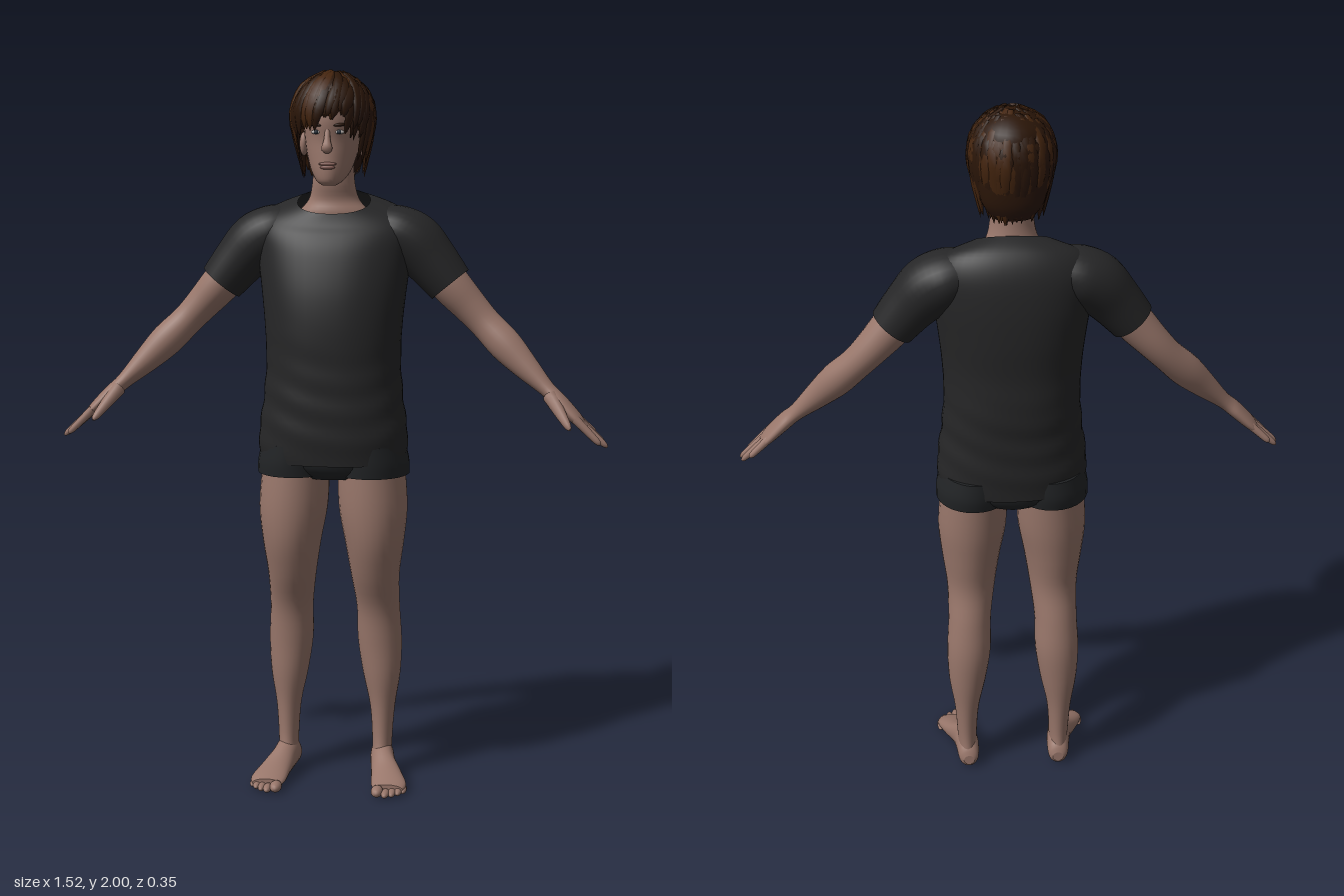
import * as THREE from 'three';
import { mergeGeometries } from 'three/addons/utils/BufferGeometryUtils.js';

const V = (x, y, z) => new THREE.Vector3(x, y, z);
const paint = (name, color, side = THREE.FrontSide) => {
  const m = new THREE.MeshStandardMaterial({ color, side });
  m.name = name;
  return m;
};

// Smooth blend through a list of equal-length number rows.
function smoothRows(rows, steps) {
  const out = [];
  const at = i => rows[Math.max(0, Math.min(rows.length - 1, i))];
  for (let i = 0; i < rows.length - 1; i++)
    for (let s = 0; s < steps; s++) {
      const t = s / steps, [p, a, b, n] = [at(i - 1), at(i), at(i + 1), at(i + 2)];
      out.push(a.map((_, k) => a[k] + 0.5 * t * (b[k] - p[k] + t * (2 * p[k] - 5 * a[k] + 4 * b[k] - n[k]
        + t * (3 * (a[k] - b[k]) + n[k] - p[k])))));
    }
  out.push(rows[rows.length - 1]);
  return out;
}

// Skin over oval rings. Row: x, y, z, radius along u, radius along v, y slope in x, y slope in z.
function loft(rows, { v = V(1, 0, 0), t = null, sides = 28, steps = 4, power = 1, caps = true, wave = null } = {}) {
  const rings = smoothRows(rows, steps), pos = [], idx = [];
  const centre = r => V(r[0], r[1], r[2]);
  const bend = c => Math.sign(c) * Math.abs(c) ** power;
  rings.forEach((r, i) => {
    const dir = t || centre(rings[Math.min(i + 1, rings.length - 1)]).sub(centre(rings[Math.max(i - 1, 0)])).normalize();
    const u = v.clone().cross(dir).normalize(), w = dir.clone().cross(u);
    for (let j = 0; j < sides; j++) {
      const q = j / sides * Math.PI * 2;
      const k = wave ? 1 + wave(r[1], q) : 1;
      const d = u.clone().multiplyScalar(r[3] * k * bend(Math.cos(q))).addScaledVector(w, r[4] * k * bend(Math.sin(q)));
      pos.push(r[0] + d.x, r[1] + d.y + (r[5] || 0) * d.x + (r[6] || 0) * d.z, r[2] + d.z);
    }
  });
  for (let i = 0; i < rings.length - 1; i++)
    for (let j = 0; j < sides; j++) {
      const a = i * sides + j, b = i * sides + (j + 1) % sides;
      idx.push(a, b, a + sides, b, b + sides, a + sides);
    }
  if (caps) for (const end of [0, rings.length - 1]) {
    const base = pos.length / 3;
    for (let j = 0; j < sides * 3; j++) pos.push(pos[end * sides * 3 + j]);
    pos.push(...rings[end].slice(0, 3));
    for (let j = 0; j < sides; j++) {
      const a = base + j, b = base + (j + 1) % sides;
      idx.push(base + sides, end ? a : b, end ? b : a);
    }
  }
  const g = new THREE.BufferGeometry();
  g.setAttribute('position', new THREE.Float32BufferAttribute(pos, 3));
  g.setIndex(idx);
  g.computeVertexNormals();
  return g;
}

// Upright ring from its extents.
const ring = (y, x0, x1, z0, z1, sx = 0, sz = 0) =>
  [(x0 + x1) / 2, y, (z0 + z1) / 2, (z1 - z0) / 2, (x1 - x0) / 2, sx, sz];
const upright = (rows, opt = {}) => loft(rows.map(r => ring(...r)), { t: V(0, 1, 0), ...opt });
const even = rows => rows.map(([y, w, z0, z1, sz = 0]) => [y, -w, w, z0, z1, 0, sz]);

// Rounded finger-like shape between two points.
function digit(a, b, r0, r1) {
  const p = (f, r) => [...V(...a).lerp(V(...b), f).toArray(), r, r];
  return loft([p(0, r0), p(0.5, (r0 + r1) / 2), p(0.88, r1), p(1, r1 * 0.35)], { v: V(0, 0, 1), sides: 10, steps: 3 });
}

export function createModel() {
  const skin = paint('skin', 0x98766a), shirt = paint('shirt cloth', 0x262627, THREE.DoubleSide);
  const under = paint('shorts cloth', 0x222426), hairDark = paint('dark hair', 0x2b1608), hairLight = paint('light hair', 0x43240e);
  const lip = paint('lips', 0x805a52), white = paint('eye white', 0xb5aeaa), iris = paint('iris', 0x26303a);
  const model = new THREE.Group();
  model.name = 'figure';
  const add = (name, geo, mat) => {
    const m = new THREE.Mesh(geo, mat);
    m.name = name;
    model.add(m);
    return m;
  };
  const ball = (name, mat, p, s) => {
    const m = add(name, new THREE.SphereGeometry(1, 16, 12), mat);
    m.position.set(...p);
    m.scale.set(...s);
    return m;
  };

  // Shirt body with soft creases around the waist
  add('shirtBody', upright(even([
    [0.93, 0.204, -0.148, 0.132], [1.0, 0.208, -0.155, 0.14], [1.1, 0.195, -0.16, 0.142], [1.2, 0.187, -0.168, 0.142],
    [1.3, 0.19, -0.167, 0.142], [1.4, 0.2, -0.174, 0.13], [1.5, 0.213, -0.174, 0.103], [1.57, 0.218, -0.162, 0.08, -0.15],
    [1.615, 0.188, -0.13, 0.06, -0.35], [1.645, 0.1, -0.082, 0.048, -0.5]]), {
    sides: 48, steps: 6, power: 0.9, caps: false,
    wave: (y, q) => 0.011 * Math.sin(y * 75 + 2.5 * Math.sin(q * 2 + 1)) * Math.exp(-(((y - 1.08) / 0.13) ** 2)),
  }), shirt);

  // Shorts: hips and two legs with slanted cuffs
  add('shortsHips', upright(even([[0.885, 0.1, -0.11, 0.085], [0.92, 0.19, -0.14, 0.112], [0.98, 0.198, -0.145, 0.122]])), under);

  // Neck and head
  add('neck', upright(even([[1.57, 0.13, -0.1, 0.035], [1.615, 0.1, -0.085, 0.04], [1.65, 0.07, -0.075, 0.034],
    [1.7, 0.058, -0.068, 0.045], [1.77, 0.055, -0.07, 0.04]])), skin);
  add('head', upright(even([[1.69, 0.018, 0.055, 0.1], [1.702, 0.036, 0.02, 0.111], [1.73, 0.054, -0.04, 0.115],
    [1.77, 0.067, -0.08, 0.114], [1.81, 0.074, -0.095, 0.113], [1.86, 0.078, -0.105, 0.12], [1.91, 0.078, -0.11, 0.112],
    [1.95, 0.064, -0.09, 0.085], [1.975, 0.025, -0.045, 0.04]])), skin);
  add('nose', loft([[0, 1.84, 0.11, 0.006, 0.007], [0, 1.81, 0.119, 0.009, 0.009], [0, 1.788, 0.124, 0.012, 0.015],
    [0, 1.778, 0.116, 0.005, 0.008]], { sides: 14 }), skin);
  ball('upperLip', lip, [0, 1.747, 0.113], [0.025, 0.005, 0.006]);
  ball('lowerLip', lip, [0, 1.738, 0.113], [0.02, 0.006, 0.007]);

  for (const s of [1, -1]) {
    const side = s > 0 ? 'left' : 'right';
    const mir = rows => rows.map(([x, ...rest]) => [s * x, ...rest]);
    const pt = ([x, y, z]) => [s * x, y, z];

    // Face details
    ball(side + 'Ear', skin, [s * 0.08, 1.8, 0.0], [0.012, 0.032, 0.02]);
    ball(side + 'Eye', white, [s * 0.031, 1.831, 0.107], [0.014, 0.006, 0.006]);
    ball(side + 'Iris', iris, [s * 0.031, 1.831, 0.1115], [0.006, 0.006, 0.003]);
    ball(side + 'Brow', hairDark, [s * 0.034, 1.85, 0.109], [0.02, 0.0045, 0.006]).rotation.set(0, s * 0.3, s * 0.12);

    // Sleeve and arm
    add(side + 'Sleeve', loft(mir([[0.12, 1.575, -0.06, 0.06, 0.075], [0.17, 1.56, -0.055, 0.075, 0.092], [0.22, 1.53, -0.05, 0.082, 0.088],
      [0.27, 1.478, -0.045, 0.073, 0.074], [0.32, 1.418, -0.042, 0.064, 0.064]]), { v: V(0, 0, 1), caps: false }), shirt);
    add(side + 'Arm', loft(mir([[0.25, 1.5, -0.045, 0.055, 0.058], [0.32, 1.418, -0.042, 0.055, 0.057], [0.375, 1.358, -0.044, 0.048, 0.051],
      [0.42, 1.31, -0.038, 0.044, 0.046], [0.475, 1.255, -0.018, 0.046, 0.045], [0.53, 1.2, 0.002, 0.036, 0.036],
      [0.59, 1.142, 0.022, 0.022, 0.03], [0.625, 1.11, 0.032, 0.021, 0.04], [0.67, 1.066, 0.04, 0.017, 0.046],
      [0.69, 1.048, 0.042, 0.01, 0.04]]), { v: V(0, 0, 1) }), skin);

    // Fingers from thumb side to little finger, then the thumb
    [[0.074, 0.737, 1.0, 0.082], [0.053, 0.756, 0.99, 0.056], [0.03, 0.75, 0.994, 0.026], [0.01, 0.725, 1.018, -0.003]].forEach(([z, ...tip], i) =>
      add(side + 'Finger' + (i + 1), digit(pt([0.668, 1.068, z]), pt(tip), 0.0125, 0.0085), skin));
    add(side + 'Thumb', digit(pt([0.6, 1.125, 0.045]), pt([0.655, 1.045, 0.122]), 0.021, 0.01), skin);

    // Leg, thigh to ankle; extents are mirrored through the ring centre
    const legRows = [[0.05, 0.108, 0.164, -0.1, 0.01], [0.1, 0.108, 0.165, -0.096, -0.008], [0.2, 0.101, 0.172, -0.105, -0.01],
      [0.3, 0.08, 0.187, -0.116, 0.0], [0.4, 0.065, 0.191, -0.12, 0.006], [0.5, 0.063, 0.186, -0.108, 0.02],
      [0.6, 0.05, 0.187, -0.092, 0.062], [0.7, 0.034, 0.2, -0.105, 0.094], [0.8, 0.016, 0.209, -0.12, 0.104], [0.92, 0.012, 0.2, -0.13, 0.1]];
    add(side + 'Leg', loft(mir(legRows.map(r => ring(...r))), { t: V(0, 1, 0) }), skin);
    add(side + 'ShortsLeg', loft(mir([[0.893, 0.004, 0.213, -0.136, 0.11], [0.93, 0.004, 0.212, -0.144, 0.115],
      [0.98, 0.004, 0.2, -0.144, 0.118]].map(r => [...ring(...r), 0.2 * s, 0.15])), { t: V(0, 1, 0) }), under);

    // Foot and toes
    add(side + 'Foot', loft(mir([[0.133, 0.03, -0.106, 0.015, 0.016], [0.134, 0.037, -0.092, 0.035, 0.029], [0.137, 0.052, -0.05, 0.05, 0.034],
      [0.145, 0.045, 0.0, 0.043, 0.036], [0.16, 0.032, 0.05, 0.03, 0.044], [0.171, 0.022, 0.1, 0.02, 0.05],
      [0.171, 0.017, 0.13, 0.013, 0.042]]), { t: V(0, 0, 1) }), skin);
    [[0.143, 0.147, 0.017], [0.166, 0.149, 0.012], [0.184, 0.138, 0.011], [0.2, 0.124, 0.011], [0.213, 0.106, 0.01]].forEach(([x, z, r], i) =>
      ball(side + 'Toe' + (i + 1), skin, [s * x, r * 0.9 + 0.001, z], [r, r * 0.9, 0.028]));
  }

  // Hair: a scalp cap covered in tapering locks that sweep from the crown
  add('hairCap', upright(even([[1.72, 0.05, -0.09, -0.03], [1.76, 0.08, -0.108, -0.005], [1.82, 0.094, -0.115, 0.02], [1.87, 0.1, -0.117, 0.06],
    [1.9, 0.104, -0.117, 0.118], [1.95, 0.088, -0.103, 0.1], [1.982, 0.048, -0.06, 0.055], [1.992, 0.012, -0.015, 0.012]])), hairDark);
  let seed = 7;
  const rnd = () => (seed = (seed * 16807) % 2147483647) / 2147483647;
  const locks = [[], []];
  const count = 150;
  for (let n = 0; n < count; n++) {
    const phi0 = (n / count * 2 - 1) * Math.PI, a = Math.abs(phi0);
    // Lowest angle reached: short at the brow, longer at the temples and nape
    const reach = a < 0.65 ? 1.42 + (phi0 < 0 ? 0.25 : 0.05) : a < 1.15 ? 1.85 : a < 1.7 ? 2.35 : 2.6;
    const from = 0.15 + rnd() * 0.75, to = reach + (rnd() - 0.5) * 0.35;
    const swirl = a < 1.2 ? -0.3 : (rnd() - 0.5) * 0.3, lift = 0.97 + rnd() * 0.05;
    const rows = [0, 0.3, 0.6, 0.85, 1].map((f, i) => {
      const th = from + (to - from) * f, low = Math.max(0, th - Math.PI / 2);
      const h = (low ? 1 - 0.22 * low : Math.sin(th)) * lift, phi = phi0 + swirl * (f - 0.3);
      const y = low ? 1.87 - 0.135 * low : 1.87 + 0.124 * Math.cos(th) * lift;
      const w = [0.008, 0.015, 0.016, 0.01, 0.001][i];
      return [0.113 * h * Math.sin(phi), y, 0.002 + 0.124 * h * Math.cos(phi), w * 0.4, w];
    });
    locks[rnd() < 0.4 ? 1 : 0].push(loft(rows, { v: V(Math.cos(phi0), 0, -Math.sin(phi0)), sides: 7, steps: 3 }));
  }
  add('darkLocks', mergeGeometries(locks[0]), hairDark);
  add('lightLocks', mergeGeometries(locks[1]), hairLight);

  return model;
}
